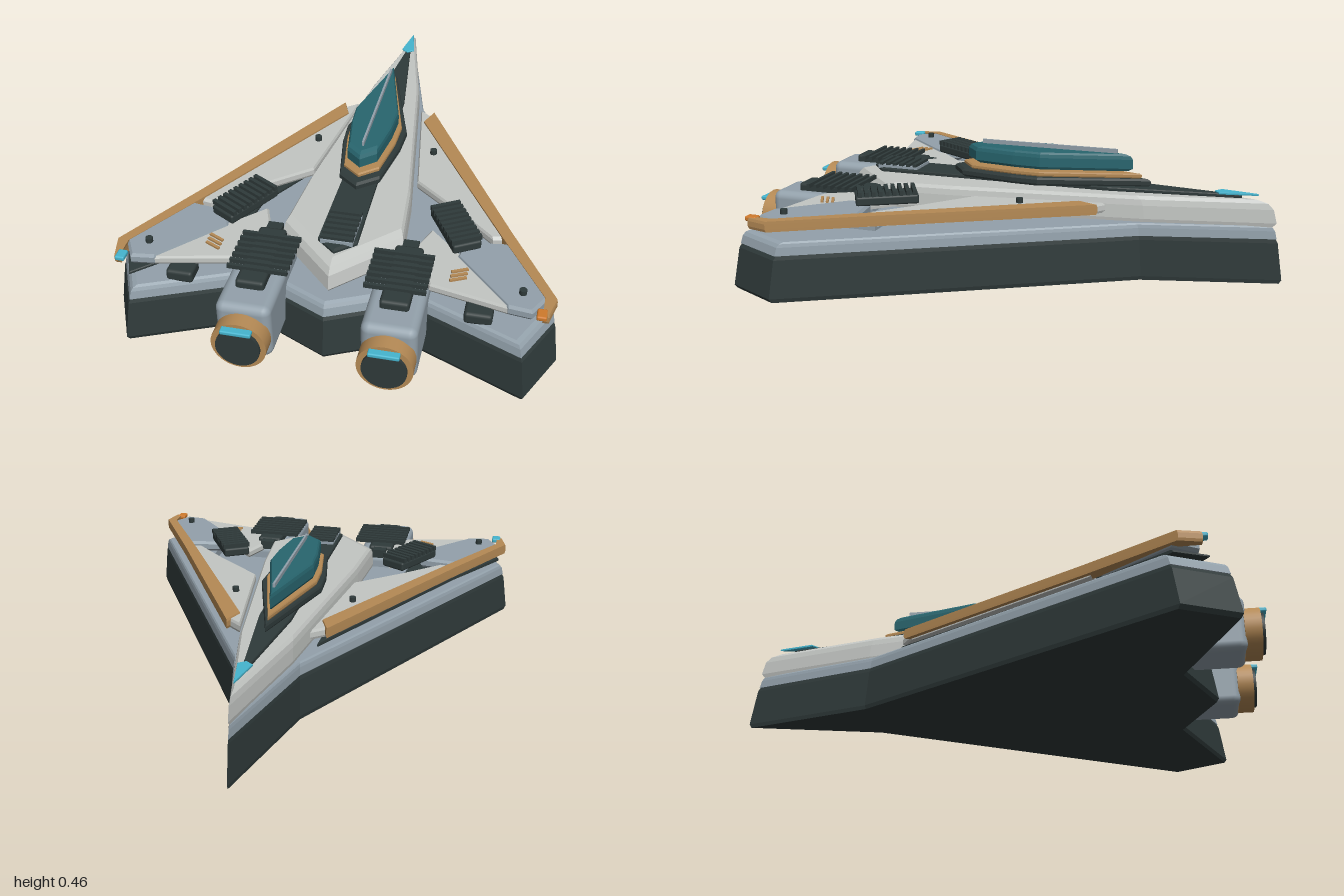
import * as THREE from 'three';
import { RoundedBoxGeometry } from 'three/addons/geometries/RoundedBoxGeometry.js';

const mat = (name, color) => {
  const m = new THREE.MeshStandardMaterial({ color });
  m.name = name;
  return m;
};

// Loft of an [x, z] outline through rings of [y, scale about the outline's centre]
function loft(outline, rings) {
  let pts = outline.map(([x, z]) => new THREE.Vector2(x, -z));
  if (THREE.ShapeUtils.isClockWise(pts)) pts.reverse();
  const c = new THREE.Box2().setFromPoints(pts).getCenter(new THREE.Vector2());
  const n = pts.length, pos = [];
  const put = (i, r) => {
    const [y, s] = rings[r], p = pts[i % n];
    pos.push(c.x + (p.x - c.x) * s, y, -(c.y + (p.y - c.y) * s));
  };
  for (let r = 0; r < rings.length - 1; r++) {
    for (let i = 0; i < n; i++) {
      put(i, r); put(i + 1, r); put(i + 1, r + 1);
      put(i, r); put(i + 1, r + 1); put(i, r + 1);
    }
  }
  const top = rings.length - 1;
  for (const [a, b, d] of THREE.ShapeUtils.triangulateShape(pts, [])) {
    put(a, top); put(b, top); put(d, top);
    put(a, 0); put(d, 0); put(b, 0);
  }
  const g = new THREE.BufferGeometry();
  g.setAttribute('position', new THREE.Float32BufferAttribute(pos, 3));
  g.computeVertexNormals();
  return g;
}

// Plate with softened upper and lower edges
const plate = (outline, y0, y1, edge = 0.96) => {
  const b = (y1 - y0) * 0.25;
  return loft(outline, [[y0, edge], [y0 + b, 1], [y1 - b, 1], [y1, edge]]);
};

// Full outline from its right half, listed nose to tail
const both = (half) => [...half, ...half.filter(([x]) => x > 0).reverse().map(([x, z]) => [-x, z])];

export function createModel() {
  const dark = mat('charcoal', 0x2f3a3a), grey = mat('blue grey', 0x93a1ab), pale = mat('pale grey', 0xc3c6c3);
  const tan = mat('bronze', 0xb58a55), teal = mat('teal glass', 0x28666f);
  const cyan = mat('cyan light', 0x45b5cf), orange = mat('orange light', 0xcf7a2c);

  const model = new THREE.Group();
  model.name = 'spacecraft';
  const add = (parent, name, geo, material, x = 0, y = 0, z = 0) => {
    const m = new THREE.Mesh(geo, material);
    m.name = name;
    m.position.set(x, y, z);
    parent.add(m);
    return m;
  };
  const box = (w, h, d) => new THREE.BoxGeometry(w, h, d);

  // Hull and deck
  const hull = both([[0, -1], [0.125, -0.5], [0.785, 0.68], [0.69, 0.88], [0.27, 0.7], [0, 0.825]]);
  add(model, 'lowerHull', loft(hull, [[0, 0.99], [0.015, 1], [0.155, 0.977], [0.17, 0.968]]), dark);
  add(model, 'deck', loft(hull, [[0.17, 0.972], [0.2, 0.964], [0.212, 0.955], [0.218, 0.94]]), grey);

  // Fuselage and spine
  const body = both([[0, -0.97], [0.1, -0.5], [0.2, 0.25], [0.22, 0.51], [0, 0.73]]);
  add(model, 'fuselage', loft(body, [[0.212, 0.98], [0.23, 1], [0.28, 0.985], [0.302, 0.96], [0.314, 0.91]]), pale);
  add(model, 'spine', plate(both([[0, -0.84], [0.06, -0.35], [0.07, 0.58], [0, 0.64]]), 0.312, 0.328, 0.98), dark);
  add(model, 'noseLight', plate(both([[0, -0.9], [0.026, -0.76], [0, -0.74]]), 0.328, 0.336), cyan);

  // Spine vent
  add(model, 'spineVent', box(0.115, 0.016, 0.17), grey, 0, 0.33, 0.515);
  for (let i = 0; i < 6; i++) add(model, 'spineSlat', box(0.115, 0.012, 0.016), dark, 0, 0.343, 0.442 + i * 0.029);

  // Canopy stack
  add(model, 'canopyBase', plate(both([[0, -0.5], [0.118, -0.09], [0.112, 0.02], [0.075, 0.23], [0, 0.29]]), 0.325, 0.356, 0.97), dark);
  add(model, 'canopyFrame', plate(both([[0, -0.465], [0.098, -0.09], [0.094, 0.02], [0.066, 0.195], [0, 0.25]]), 0.356, 0.374, 0.98), tan);
  add(model, 'canopy', loft(both([[0, -0.43], [0.085, -0.09], [0.08, 0.02], [0.056, 0.18], [0, 0.23]]),
    [[0.38, 0.94], [0.39, 1], [0.425, 1], [0.438, 0.97], [0.445, 0.91]]), teal);
  add(model, 'canopyRidge', box(0.008, 0.016, 0.54), grey, 0, 0.454, -0.1);

  for (const s of [1, -1]) {
    const side = new THREE.Group();
    side.name = s > 0 ? 'leftSide' : 'rightSide';
    model.add(side);
    const flip = (o) => o.map(([x, z]) => [s * x, z]);

    // Wing panels
    add(side, 'frontWingPanel', plate(flip([[0.13, -0.36], [0.18, -0.32], [0.58, 0.4], [0.52, 0.41], [0.38, 0.28], [0.2, 0.13]]), 0.25, 0.288, 0.975), pale);
    add(side, 'rearWingPanel', plate(flip([[0.3, 0.4], [0.25, 0.53], [0.34, 0.69], [0.62, 0.75], [0.42, 0.52]]), 0.25, 0.285, 0.96), pale);
    add(side, 'outerWingPanel', plate(flip([[0.57, 0.43], [0.43, 0.45], [0.41, 0.53], [0.61, 0.75], [0.69, 0.76], [0.74, 0.67]]), 0.25, 0.292, 0.95), grey);
    if (s < 0) {
      add(side, 'underWingPanel', plate(flip([[0.155, -0.36], [0.17, 0], [0.35, 0.3], [0.38, 0.5], [0.69, 0.79], [0.74, 0.67], [0.57, 0.4]]), 0.225, 0.237, 0.99), dark);
    }

    // Bronze leading edge and wing tip light
    add(side, 'leadingEdge', plate(flip([[0.185, -0.345], [0.58, 0.37], [0.765, 0.69], [0.745, 0.77], [0.725, 0.77],
      [0.725, 0.69], [0.56, 0.42], [0.155, -0.27]]), 0.255, 0.294, 0.993), tan);
    add(side, 'tipLight', new RoundedBoxGeometry(0.034, 0.018, 0.045, 2, 0.006), s > 0 ? orange : cyan, s * 0.72, 0.288, 0.765);

    // Rivets, wing struts and bronze marks
    for (const [x, z, y] of [[0.23, -0.06, 0.296], [0.65, 0.68, 0.3]]) {
      add(side, 'rivet', new THREE.CylinderGeometry(0.013, 0.013, 0.02, 12), dark, s * x, y, z);
    }
    add(side, 'wingStrut', new RoundedBoxGeometry(0.095, 0.045, 0.08, 2, 0.012), dark, s * 0.515, 0.232, 0.735);
    add(side, 'frontStrut', box(0.06, 0.035, 0.14), grey, s * 0.49, 0.232, 0.46);
    for (let i = 0; i < 3; i++) {
      const mark = add(side, 'bronzeMark', box(0.06, 0.008, 0.01), tan, s * 0.43, 0.288, 0.605 + i * 0.022);
      mark.rotation.y = s * 0.45;
    }

    // Slatted wing vent
    const vent = new THREE.Group();
    vent.name = 'wingVent';
    vent.position.set(s * 0.385, 0.3, 0.405);
    vent.rotation.y = s * 0.52;
    side.add(vent);
    add(vent, 'ventBase', new RoundedBoxGeometry(0.105, 0.035, 0.23, 2, 0.008), dark, 0, 0.008, 0);
    for (let i = 0; i < 9; i++) add(vent, 'ventSlat', box(0.112, 0.018, 0.014), dark, 0, 0.034, -0.1 + i * 0.025);

    // Engine
    const engine = new THREE.Group();
    engine.name = 'engine';
    engine.position.x = s * 0.245;
    side.add(engine);
    add(engine, 'engineBody', new RoundedBoxGeometry(0.19, 0.215, 0.42, 3, 0.03), grey, 0, 0.165, 0.71);
    add(engine, 'engineSpine', new RoundedBoxGeometry(0.1, 0.045, 0.3, 2, 0.012), dark, 0, 0.28, 0.675);
    add(engine, 'engineSpineTip', box(0.055, 0.035, 0.05), dark, 0, 0.28, 0.515);
    for (let i = 0; i < 7; i++) add(engine, 'engineSlat', box(0.21, 0.016, 0.012), dark, s * -0.01, 0.306, 0.58 + i * 0.03);

    const disc = (r, d) => new THREE.CylinderGeometry(r, r, d, 32).rotateX(Math.PI / 2);
    add(engine, 'nozzleRing', disc(0.095, 0.06), tan, 0, 0.152, 0.943);
    add(engine, 'nozzleCore', disc(0.076, 0.03), dark, 0, 0.152, 0.97);
    add(engine, 'engineLight', new RoundedBoxGeometry(0.105, 0.016, 0.036, 2, 0.005), cyan, 0, 0.225, 0.98);
  }
  return model;
}
